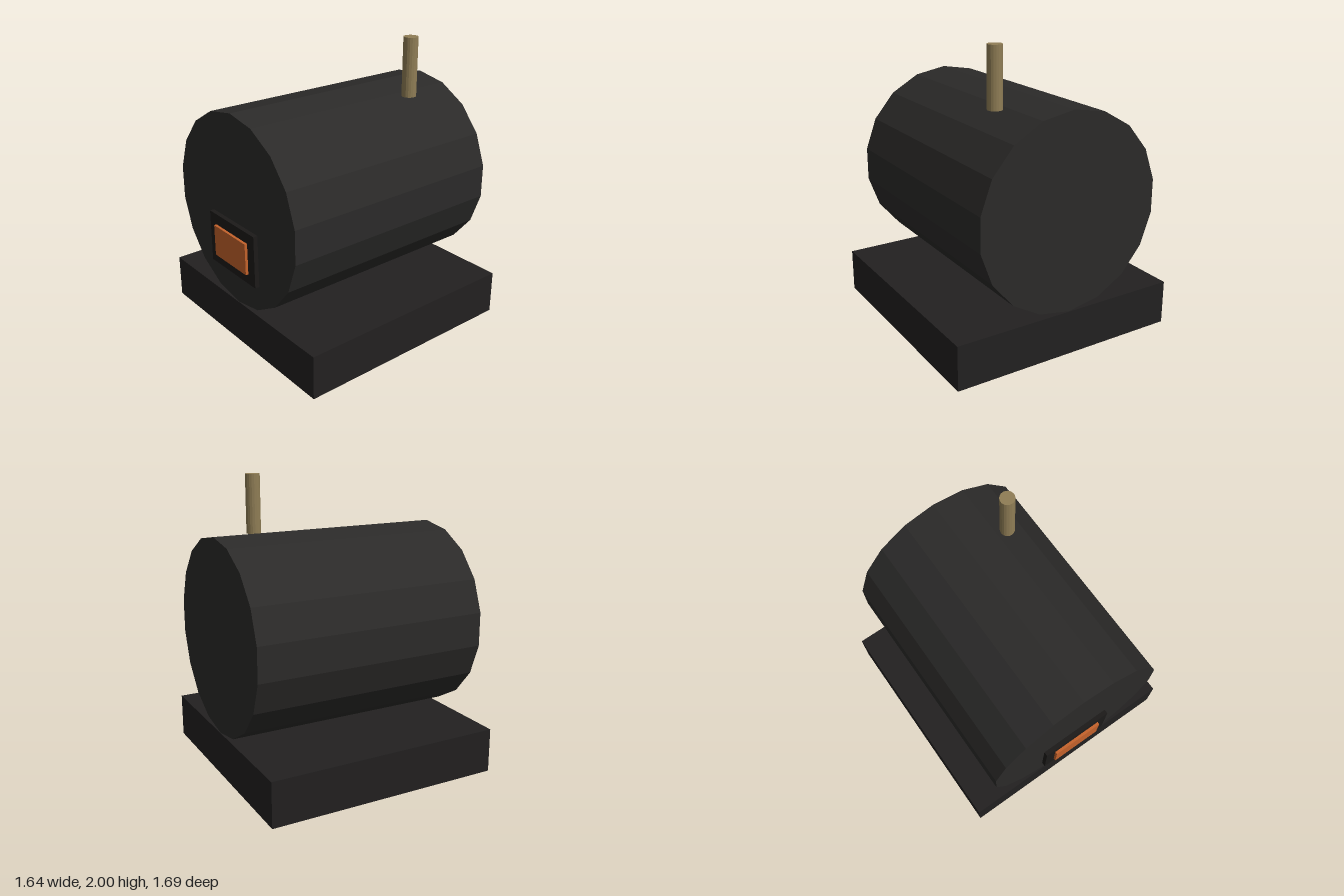
import * as THREE from 'three';

const mat = (color) => new THREE.MeshStandardMaterial({ color, flatShading: true });

export function createModel() {
  const group = new THREE.Group();
  const add = (name, geometry, color, x, y, z) => {
    const mesh = new THREE.Mesh(geometry, mat(color));
    mesh.name = name;
    mesh.position.set(x, y, z);
    group.add(mesh);
  };

  // Square slab under the drum
  add('base', new THREE.BoxGeometry(1.64, 0.307, 1.64), 0x222020, 0, 0.1535, -0.025);

  // Faceted drum lying along z, with a corner straight up
  const drum = new THREE.CylinderGeometry(0.665, 0.665, 1.64, 18).rotateX(Math.PI / 2);
  add('drum', drum, 0x2b2a29, 0, 0.976, -0.025);

  // Fire door: dark frame with a glowing panel standing proud of it
  add('doorFrame', new THREE.BoxGeometry(0.516, 0.366, 0.06), 0x1c1a19, 0, 0.722, 0.796);
  add('fireGlow', new THREE.BoxGeometry(0.366, 0.22, 0.04), 0xc4622b, 0, 0.72, 0.825);

  // Thin pipe towards the back, on the model's left
  add('pipe', new THREE.CylinderGeometry(0.05, 0.05, 0.405, 18), 0x8f7d55, 0.305, 1.7975, -0.436);

  return group;
}
